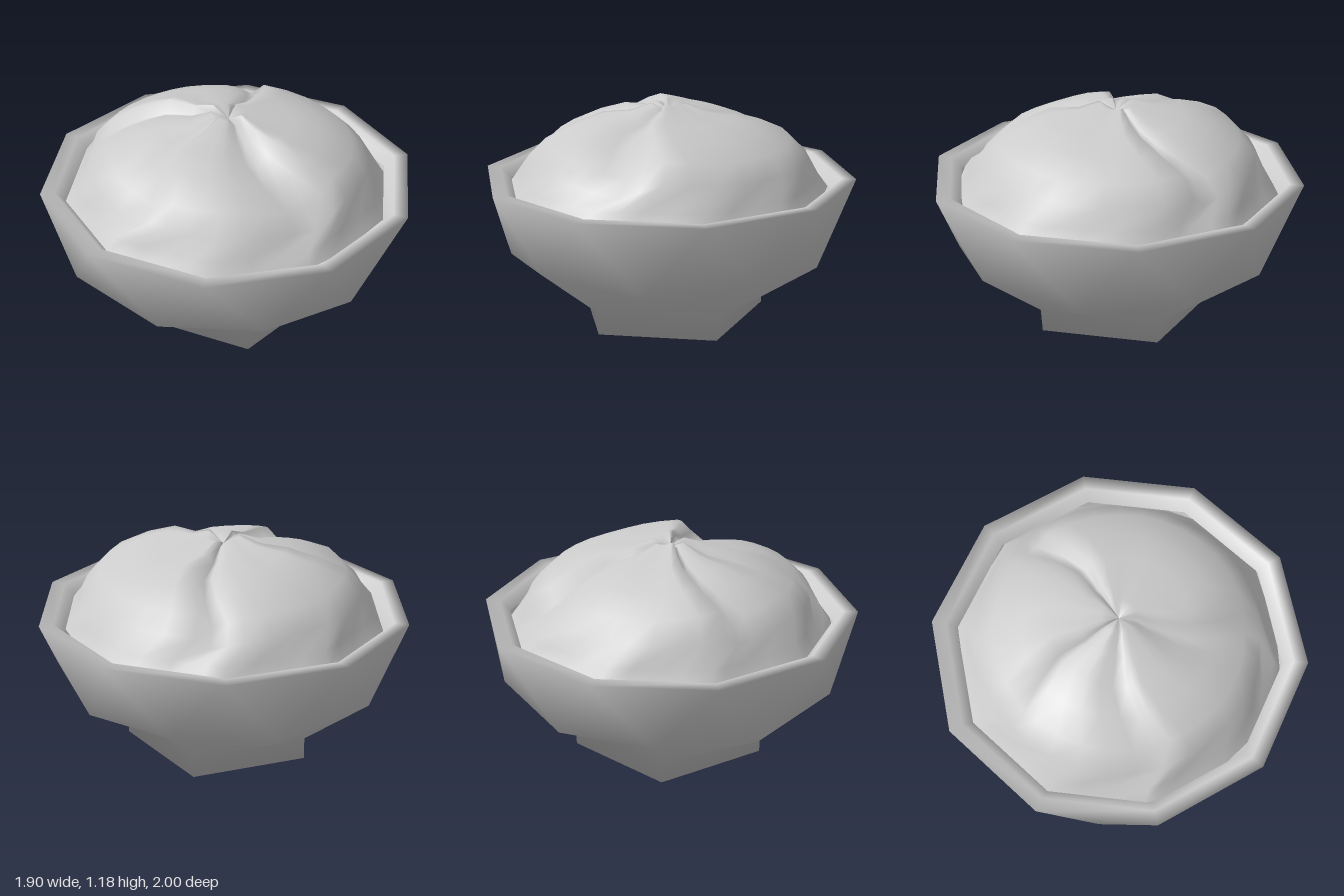
import * as THREE from 'three';

const material = new THREE.MeshStandardMaterial({ color: 0xcccccc, side: THREE.DoubleSide });
const RAD = Math.PI / 180;

// Skin a list of rings (each an array of Vector3 with equal count), ordered outward then upward.
function loft(rings, name) {
  const n = rings[0].length;
  const index = [];
  for (let j = 0; j < rings.length - 1; j++) {
    for (let k = 0; k < n; k++) {
      const a = j * n + k, a2 = j * n + (k + 1) % n;
      index.push(a, a + n, a2, a2, a + n, a2 + n);
    }
  }
  const geometry = new THREE.BufferGeometry().setFromPoints(rings.flat());
  geometry.setIndex(index);
  geometry.computeVertexNormals();
  const mesh = new THREE.Mesh(geometry, material);
  mesh.name = name;
  return mesh;
}

// Ten-point ring whose even and odd points may differ in radius and height.
function ring(phase, rEven, yEven, rOdd = rEven, yOdd = yEven) {
  return Array.from({ length: 10 }, (_, k) => {
    const t = (phase + 36 * k) * RAD;
    const r = k % 2 ? rOdd : rEven;
    return new THREE.Vector3(r * Math.cos(t), k % 2 ? yOdd : yEven, r * Math.sin(t));
  });
}

// Linear interpolation through [position, value] pairs.
function sample(keys, x) {
  const i = Math.max(1, keys.findIndex((key) => key[0] >= x));
  const [x0, v0] = keys[i - 1], [x1, v1] = keys[i];
  return v0 + (v1 - v0) * (x - x0) / (x1 - x0);
}

// Closed pentagonal foot opening into a ten-sided bowl with a thick rim.
function makeBowl() {
  return loft([
    ring(0, 0, 0),
    ring(0, 0.429, 0, 0.53, 0),
    ring(0, 0.429, 0.12, 0.53, 0.12),
    ring(0, 0.855, 0.37, 0.905, 0.43),
    ring(18, 1, 0.78),
    ring(18, 0.925, 0.78),
    ring(18, 0.87, 0.72),
  ], 'bowl');
}

// Domed filling with overlapping folds gathered at the centre.
function makeFilling() {
  // angle in degrees from +x toward +z, height offset of the fold
  const folds = [
    [3, 0.05], [20, -0.06], [50, 0], [80, 0.02], [87, 0.02], [92, -0.03],
    [126, 0.025], [150, 0], [157, -0.015], [162, 0.055], [190, 0.025], [215, 0.015],
    [235, 0], [248, -0.05], [254, 0.02], [290, 0.01], [330, 0.025], [363, 0.05],
  ];
  // radius, height, strength of the folds, whether the ring follows the ten-sided bowl
  const profile = [
    [0.87, 0.72, 0, true], [0.82, 0.785, 0.1, true], [0.74, 0.88, 0.7],
    [0.65, 0.965, 0.9], [0.5, 1.035, 1], [0.35, 1.085, 1], [0.2, 1.105, 0.7],
    [0.09, 1.15, 0.5], [0, 1.12, 0],
  ];
  const angles = [];
  for (let i = 0; i < folds.length - 1; i++) {
    const [start, end] = [folds[i][0], folds[i + 1][0]];
    const steps = Math.ceil((end - start) / 12);
    for (let s = 0; s < steps; s++) angles.push(start + (end - start) * s / steps);
  }
  const rings = profile.map(([radius, y, strength, tenSided]) => angles.map((angle) => {
    // folds curl slightly around the centre
    const turned = angle + strength * (8 * Math.sin(radius * 6) - 4);
    const fromMiddle = ((turned + 378) % 36) - 18;
    const r = tenSided ? radius * Math.cos(18 * RAD) / Math.cos(fromMiddle * RAD) : radius;
    return new THREE.Vector3(
      r * Math.cos(turned * RAD),
      y + strength * sample(folds, angle),
      r * Math.sin(turned * RAD));
  }));
  return loft(rings, 'filling');
}

export function createModel() {
  const group = new THREE.Group();
  group.name = 'filledBowl';
  group.add(makeBowl(), makeFilling());
  return group;
}
